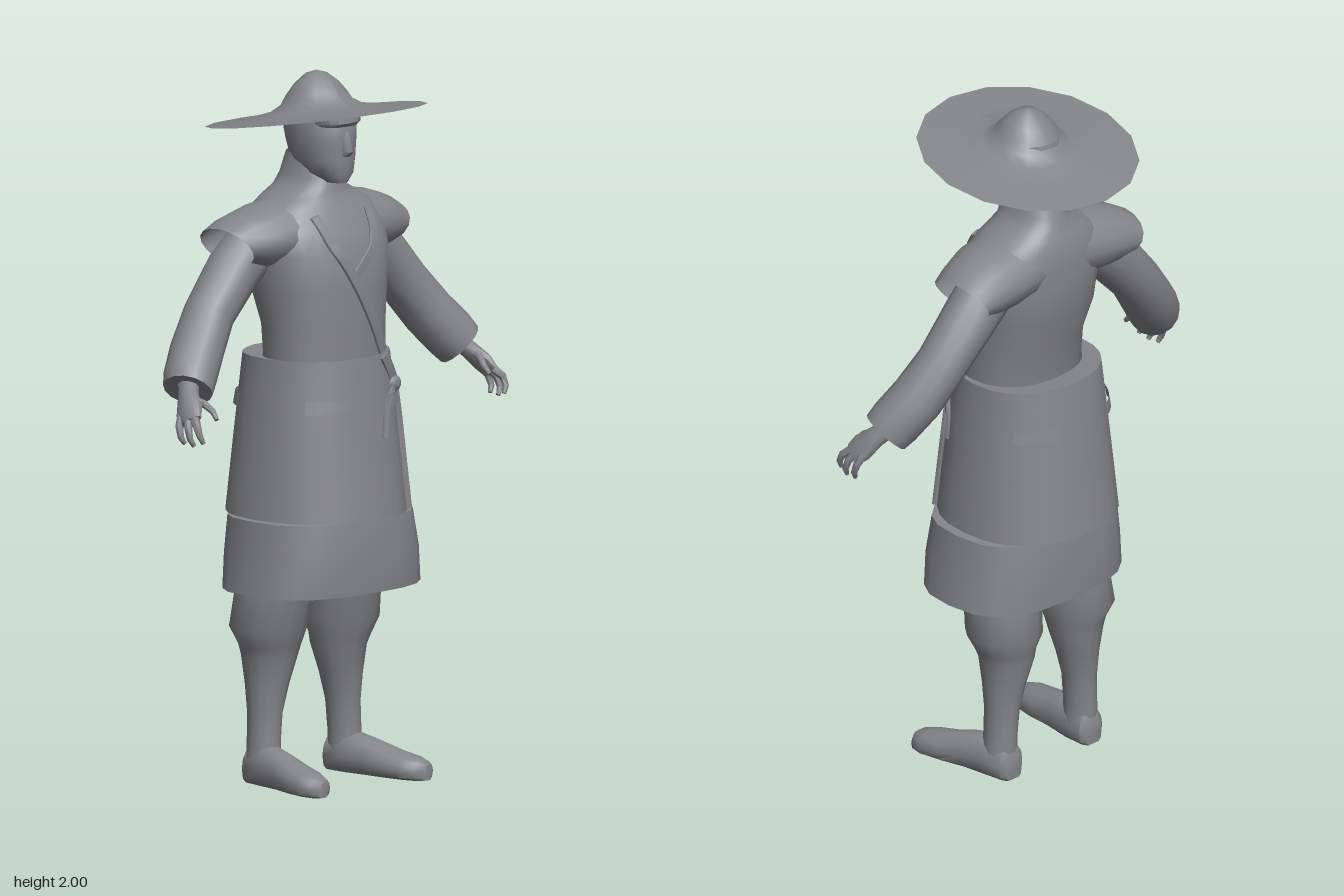
import * as THREE from 'three';
import { toCreasedNormals } from 'three/addons/utils/BufferGeometryUtils.js';

const V = (x, y, z) => new THREE.Vector3(x, y, z);
const sp = (t, p) => Math.sign(t) * Math.pow(Math.abs(t), 2 / p);

// Skin through rings; each ring has a centre c and two half axes u and v
function loft(rings, { n = 16, p = 2, capStart = false, capEnd = false, crease = 0.9, floor = -9 } = {}) {
  const pos = [], idx = [];
  const add = (q) => pos.push(q.x, Math.max(q.y, floor), q.z) / 3 - 1;
  for (const { c, u, v } of rings) {
    for (let j = 0; j < n; j++) {
      const a = (j / n) * Math.PI * 2;
      add(c.clone().addScaledVector(u, sp(Math.cos(a), p)).addScaledVector(v, sp(Math.sin(a), p)));
    }
  }
  const last = rings.length - 1, mid = Math.floor(last / 2);
  const dir = rings[mid + 1].c.clone().sub(rings[mid].c);
  const flip = rings[mid].u.clone().cross(rings[mid].v).dot(dir) > 0;
  const tri = (a, b, c) => (flip ? idx.push(a, c, b) : idx.push(a, b, c));
  for (let i = 0; i < last; i++) {
    for (let j = 0; j < n; j++) {
      const k = (j + 1) % n, a = i * n + j, b = i * n + k;
      tri(a, a + n, b);
      tri(b, a + n, b + n);
    }
  }
  const cap = (i, end) => {
    const m = add(rings[i].c);
    for (let j = 0; j < n; j++) {
      const a = i * n + j, b = i * n + ((j + 1) % n);
      end ? tri(m, b, a) : tri(m, a, b);
    }
  };
  if (capStart) cap(0, false);
  if (capEnd) cap(last, true);
  const g = new THREE.BufferGeometry();
  g.setAttribute('position', new THREE.Float32BufferAttribute(pos, 3));
  g.setIndex(idx);
  return toCreasedNormals(g, crease);
}

// Level rings: [y, centre x, centre z, half width, half depth]
const level = (rows) => rows.map(([y, x, z, rx, rz]) => ({ c: V(x, y, z), u: V(rx, 0, 0), v: V(0, 0, rz) }));

// Rings along a path: [x, y, z, half width, half depth], square to the path in the xy plane
const limb = (rows, s) => rows.map((r, i) => {
  const a = rows[Math.max(i - 1, 0)], b = rows[Math.min(i + 1, rows.length - 1)];
  const d = V((b[0] - a[0]) * s, b[1] - a[1], b[2] - a[2]).normalize();
  const u = V(-d.y, d.x, 0).normalize();
  return { c: V(r[0] * s, r[1], r[2]), u: u.clone().multiplyScalar(r[3]), v: d.clone().cross(u).multiplyScalar(r[4]) };
});

const TORSO = [
  [1.15, 0, 0.035, 0.18, 0.14], [1.3, 0, 0.028, 0.185, 0.145], [1.4, 0, 0.01, 0.2, 0.162],
  [1.5, 0, 0.003, 0.215, 0.162], [1.57, 0, -0.01, 0.215, 0.147], [1.62, 0, -0.022, 0.19, 0.13],
  [1.65, 0, -0.025, 0.145, 0.115], [1.675, 0, -0.025, 0.095, 0.105], [1.705, 0, -0.02, 0.07, 0.1],
  [1.77, 0, -0.02, 0.065, 0.07],
];
const SKIRT = [
  [0.76, 0, 0, 0.243, 0.24], [0.95, 0, 0, 0.228, 0.217], [1.1, 0, 0, 0.214, 0.2], [1.21, 0, 0, 0.205, 0.186],
];

// Half size and centre of the clothes at a height
function slice(y) {
  const rows = y < 1.21 ? SKIRT : TORSO;
  let i = 0;
  while (i < rows.length - 2 && rows[i + 1][0] < y) i++;
  const t = (y - rows[i][0]) / (rows[i + 1][0] - rows[i][0]);
  return rows[i].map((q, k) => q + (rows[i + 1][k] - q) * t);
}
function frontZ(x, y) {
  const [, , z, rx, rz] = slice(y);
  const k = Math.min(Math.abs(x) / rx, 0.99);
  return z + rz * Math.pow(1 - Math.pow(k, 2.3), 1 / 2.3);
}

// Thin cloth strip lying on the front of the clothes
function strip(points, w) {
  const path = new THREE.CatmullRomCurve3(points.map(([x, y]) => V(x, y, 0)), false, 'centripetal');
  const rings = path.getPoints(18).map((q, i) => {
    const d = path.getTangent(i / 18);
    return { c: V(q.x, q.y, frontZ(q.x, q.y) + 0.004), u: V(-d.y * w, d.x * w, 0), v: V(0, 0, 0.006) };
  });
  return loft(rings, { n: 8, p: 5, capStart: true, capEnd: true, crease: 0.6 });
}

export function createModel() {
  const model = new THREE.Group();
  const cloth = new THREE.MeshStandardMaterial({ color: 0x85868a, side: THREE.DoubleSide });
  cloth.name = 'plain grey';
  const add = (name, geometry) => {
    const m = new THREE.Mesh(geometry, cloth);
    m.name = name;
    model.add(m);
    return m;
  };

  // Wide hat, tipped up at the front
  const outline = [[0.31, 1.872], [0.2, 1.88], [0.13, 1.892], [0.1, 1.91], [0.085, 1.935], [0.062, 1.965], [0.032, 1.99], [0, 2]];
  const hat = new THREE.LatheGeometry(outline.map(([r, y]) => new THREE.Vector2(r, y)), 16);
  const hp = hat.attributes.position;
  for (let i = 0; i < hp.count; i++) {
    const r = Math.hypot(hp.getX(i), hp.getZ(i));
    hp.setY(i, hp.getY(i) + 0.157 * hp.getZ(i) * Math.min(1, r / 0.1));
  }
  hat.computeVertexNormals();
  add('hat', hat);

  // Head and face
  add('head', loft(level([
    [1.695, 0, 0.07, 0.03, 0.045], [1.72, 0, 0.045, 0.058, 0.08], [1.76, 0, 0.025, 0.074, 0.1],
    [1.81, 0, 0.018, 0.082, 0.107], [1.87, 0, 0.012, 0.086, 0.115], [1.92, 0, 0, 0.078, 0.09],
  ]), { p: 2.3, capStart: true, capEnd: true }));
  add('nose', loft(level([
    [1.77, 0, 0.118, 0.016, 0.012], [1.785, 0, 0.125, 0.018, 0.018], [1.84, 0, 0.117, 0.01, 0.012],
  ]), { n: 8, capStart: true, capEnd: true }));
  add('brow', loft(level([
    [1.855, 0, 0.055, 0.07, 0.071], [1.865, 0, 0.055, 0.077, 0.08], [1.885, 0, 0.055, 0.077, 0.076],
  ]), { p: 2.6, capStart: true }));

  // Robe
  add('robeTop', loft(level(TORSO), { n: 24, p: 2.3 }));
  add('upperSkirt', loft(level([...SKIRT, [1.205, 0, 0.02, 0.175, 0.14]]), { n: 24, p: 2.3, crease: 0.6 }));
  add('lowerSkirt', loft(level([
    [0.55, 0.01, 0.01, 0.287, 0.21], [0.65, 0.008, 0.012, 0.276, 0.215], [0.757, 0.005, 0.01, 0.262, 0.205],
    [0.762, 0, 0.005, 0.2, 0.18],
  ]), { n: 20, p: 2.7, crease: 0.6 }));

  // Sash, lapel, knot and hanging cords
  add('sash', strip([[-0.105, 1.61], [-0.08, 1.53], [-0.03, 1.45], [0.04, 1.33], [0.1, 1.215]], 0.016));
  add('lapel', strip([[0.1, 1.61], [0.075, 1.53], [0.03, 1.485], [-0.015, 1.44]], 0.014));
  add('sashEnd', strip([[0.09, 1.205], [0.12, 1.16], [0.15, 1.11]], 0.016));
  add('cordInner', strip([[0.15, 1.12], [0.09, 1.075], [0.06, 0.98]], 0.009));
  add('cordOuter', strip([[0.15, 1.12], [0.185, 1.08], [0.2, 1.0]], 0.008));
  add('cordLong', strip([[0.145, 1.12], [0.165, 1.0], [0.17, 0.88], [0.18, 0.765]], 0.012));
  const knot = add('knot', new THREE.SphereGeometry(0.024, 10, 8));
  knot.position.set(0.14, 1.12, frontZ(0.14, 1.12) + 0.006);
  knot.scale.z = 0.6;

  // Folded belt pieces at the four corners of the skirt
  for (const start of [0.3, 2.2, 3.65, 5.4]) {
    const g = new THREE.CylinderGeometry(1, 1.025, 0.036, 8, 1, true, start, 0.65);
    const q = g.attributes.position;
    for (let i = 0; i < q.count; i++) {
      const r = Math.hypot(q.getX(i), q.getZ(i));
      q.setX(i, sp(q.getX(i) / r, 2.3) * 0.222 * r);
      q.setZ(i, sp(q.getZ(i) / r, 2.3) * 0.208 * r);
    }
    g.computeVertexNormals();
    add('beltFold', g).position.y = 1.082;
  }

  for (const s of [-1, 1]) {
    const side = s > 0 ? 'left' : 'right';

    // Flared shoulder cap
    add(side + 'ShoulderCap', loft([
      { c: V(0.06 * s, 1.56, -0.025), u: V(0.01 * s, 0.1, 0), v: V(0, 0, 0.125) },
      { c: V(0.18 * s, 1.55, -0.028), u: V(0.022 * s, 0.09, 0), v: V(0, 0, 0.128) },
      { c: V(0.25 * s, 1.538, -0.038), u: V(0.032 * s, 0.077, 0), v: V(0, 0, 0.115) },
      { c: V(0.3 * s, 1.53, -0.045), u: V(0.033 * s, 0.055, 0), v: V(0, 0, 0.103) },
    ], { n: 16 }));

    // Sleeve with an inward turned cuff
    add(side + 'Sleeve', loft(limb([
      [0.19, 1.535, -0.045, 0.08, 0.08], [0.27, 1.465, -0.048, 0.079, 0.078], [0.375, 1.35, -0.04, 0.072, 0.073],
      [0.445, 1.26, -0.015, 0.074, 0.077], [0.5, 1.195, 0.015, 0.075, 0.075], [0.523, 1.165, 0.03, 0.073, 0.07],
      [0.518, 1.172, 0.027, 0.03, 0.03],
    ], s).map((r, i, all) => (i < 5 ? r : { ...r, u: all[4].u.clone().multiplyScalar(i === 5 ? 0.95 : 0.4), v: all[4].v.clone().multiplyScalar(i === 5 ? 0.93 : 0.4) })),
    { n: 14 }));

    // Hand with hooked fingers and thumb
    add(side + 'Palm', loft(limb([
      [0.51, 1.185, 0.02, 0.024, 0.03], [0.54, 1.15, 0.05, 0.024, 0.032], [0.565, 1.115, 0.08, 0.022, 0.042],
      [0.578, 1.09, 0.1, 0.016, 0.036],
    ], s), { n: 10, capStart: true, capEnd: true }));
    const fingers = [
      [[0.572, 1.11, 0.06], [0.595, 1.075, 0.07], [0.597, 1.045, 0.08], [0.587, 1.028, 0.085]],
      [[0.572, 1.105, 0.085], [0.594, 1.075, 0.105], [0.596, 1.045, 0.115], [0.585, 1.025, 0.12]],
      [[0.57, 1.105, 0.105], [0.588, 1.08, 0.135], [0.588, 1.055, 0.147], [0.578, 1.035, 0.15]],
      [[0.545, 1.145, 0.07], [0.53, 1.135, 0.105], [0.522, 1.115, 0.13], [0.525, 1.095, 0.148]],
    ];
    for (const f of fingers) {
      add(side + 'Finger', loft(limb(f.map((q, i) => [...q, 0.014 - i * 0.0025, 0.014 - i * 0.0025]), s),
        { n: 7, capStart: true, capEnd: true }));
    }

    // Trouser leg gathered below the knee, then shin
    add(side + 'Leg', loft(level([
      [0.06, 0.157, -0.048, 0.046, 0.052], [0.12, 0.155, -0.049, 0.044, 0.051], [0.2, 0.15, -0.05, 0.047, 0.052],
      [0.28, 0.142, -0.05, 0.06, 0.064], [0.36, 0.133, -0.05, 0.077, 0.082], [0.39, 0.135, -0.047, 0.085, 0.09],
      [0.44, 0.14, -0.048, 0.108, 0.11], [0.55, 0.13, -0.032, 0.102, 0.118], [0.68, 0.12, -0.01, 0.105, 0.13],
    ].map(([y, x, z, a, b]) => [y, x * s, z, a, b])), { n: 14, capEnd: true }));

    // Boot, toe turned out; rows are [z, x, top, half width]
    const boot = [
      [-0.103, 0.155, 0.07, 0.03], [-0.09, 0.155, 0.1, 0.045], [-0.02, 0.16, 0.115, 0.052], [0.05, 0.17, 0.1, 0.05],
      [0.12, 0.183, 0.078, 0.058], [0.18, 0.193, 0.066, 0.056], [0.22, 0.198, 0.055, 0.04], [0.236, 0.2, 0.042, 0.018],
    ];
    add(side + 'Boot', loft(boot.map(([z, x, h, w]) => ({
      c: V(x * s, h * 0.4, z), u: V(w, 0, 0), v: V(0, h * 0.6, 0),
    })), { n: 14, p: 2.2, capStart: true, capEnd: true, floor: 0, crease: 0.8 }));
  }
  return model;
}
